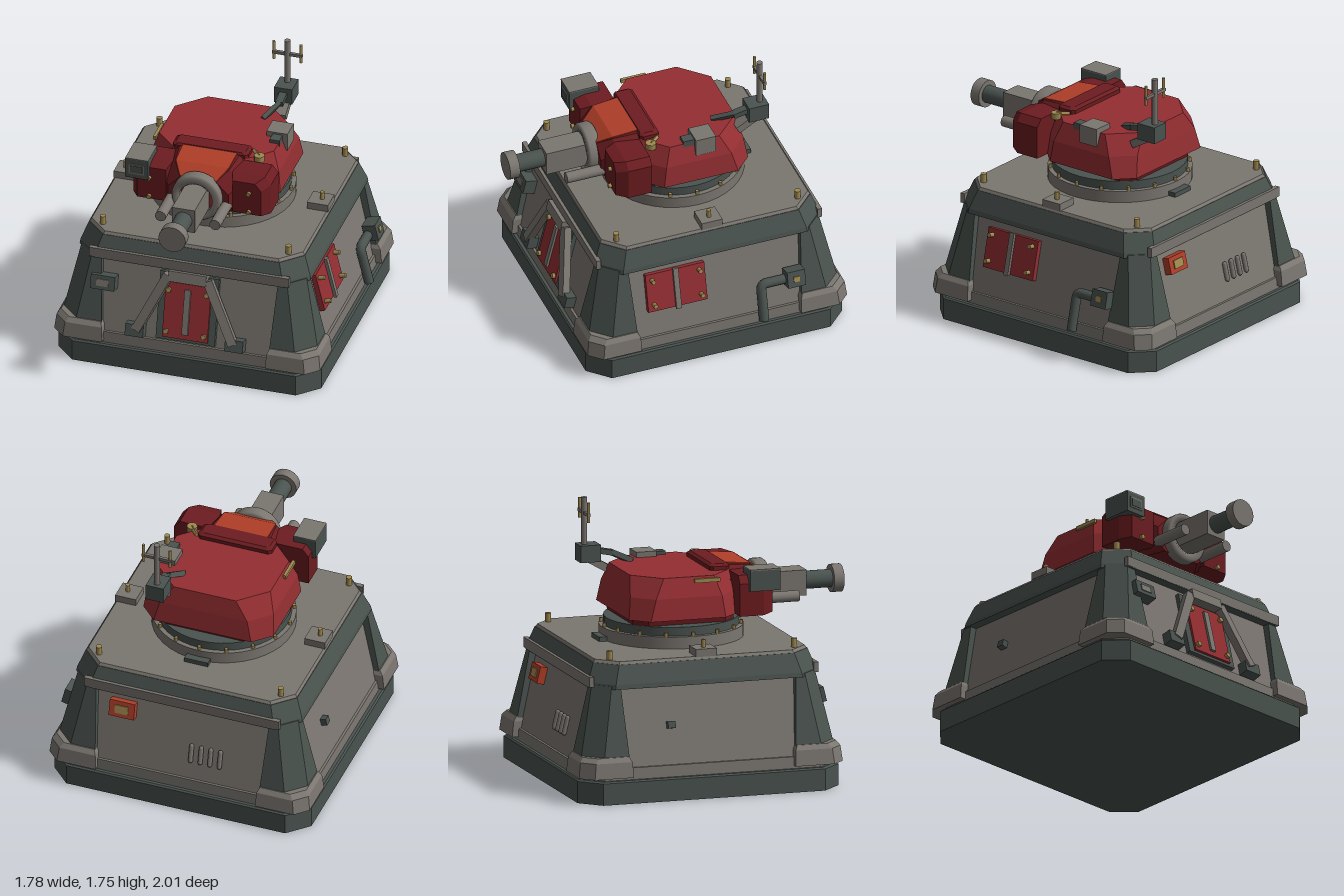
import * as THREE from 'three';
import { ConvexGeometry } from 'three/addons/geometries/ConvexGeometry.js';

const paint = (name, color) => Object.assign(new THREE.MeshStandardMaterial({ color }), { name });
const grey = paint('stone grey', 0x7b7670);
const dark = paint('dark green grey', 0x4a534f);
const red = paint('red', 0x942e32);
const deepRed = paint('deep red', 0x6c1c20);
const orange = paint('orange red', 0xb03e28);
const gold = paint('brass', 0xa08a50);
const CZ = -0.13; // centre of the bunker in z

function add(parent, name, geometry, material, x = 0, y = 0, z = 0) {
  const mesh = new THREE.Mesh(geometry, material);
  mesh.name = name;
  mesh.position.set(x, y, z);
  parent.add(mesh);
  return mesh;
}
const box = (p, name, m, w, h, d, x, y, z) => add(p, name, new THREE.BoxGeometry(w, h, d), m, x, y, z);
const rod = (p, name, m, r, h, x, y, z, sides = 16) =>
  add(p, name, new THREE.CylinderGeometry(r, r, h, sides), m, x, y, z);
const rodZ = (...args) => {
  const mesh = rod(...args);
  mesh.rotation.x = Math.PI / 2;
  return mesh;
};

// Square bar between two points
function beam(p, name, m, from, to, w, d) {
  const a = new THREE.Vector3(...from), b = new THREE.Vector3(...to);
  const dir = b.clone().sub(a);
  const mesh = box(p, name, m, w, dir.length(), d, 0, 0, 0);
  mesh.position.copy(a).add(b).multiplyScalar(0.5);
  mesh.quaternion.setFromUnitVectors(new THREE.Vector3(0, 1, 0), dir.normalize());
  return mesh;
}

const hull = (p, name, m, pts) =>
  add(p, name, new ConvexGeometry(pts.map((q) => new THREE.Vector3(...q))), m);

// Solid with chamfered corners; each level is [y, halfX, zBack, zFront, chamfer]
function block(p, name, m, levels) {
  const pts = [];
  for (const [y, hx, zb, zf, c] of levels)
    for (const s of [-1, 1])
      pts.push([s * (hx - c), y, zf], [s * hx, y, zf - c], [s * hx, y, zb + c], [s * (hx - c), y, zb]);
  return hull(p, name, m, pts);
}
const square = (y, h, c) => [y, h, CZ - h, CZ + h, c];

// Corner piece; each level is [y, inner, outer, chamfer]
function corner(p, name, m, sx, sz, levels) {
  const pts = [];
  for (const [y, i, o, c] of levels)
    for (const [x, z] of [[i, i], [o, i], [o, o - c], [o - c, o], [i, o]])
      pts.push([sx * x, y, CZ + sz * z]);
  hull(p, name, m, pts);
}

// Group lying on a sloped wall: x along the wall, y up the slope, z outwards
function wallFace(parent, name, turn) {
  const outer = new THREE.Group(), face = new THREE.Group();
  outer.name = name;
  outer.position.z = CZ;
  outer.rotation.y = turn;
  face.position.set(0, 0.23, 0.82);
  face.rotation.x = -0.24;
  outer.add(face);
  parent.add(outer);
  return face;
}
const up = (y) => (y - 0.23) * 1.03;

function buildBunker(g) {
  block(g, 'base', dark, [square(0, 0.87, 0.13), square(0.14, 0.87, 0.13), square(0.15, 0.86, 0.13)]);
  block(g, 'skirt', grey, [square(0.15, 0.84, 0.12), square(0.225, 0.835, 0.12)]);
  block(g, 'walls', grey, [square(0.2, 0.825, 0.12), square(0.73, 0.7, 0.12)]);
  block(g, 'roofRim', dark, [square(0.72, 0.765, 0.14), square(0.75, 0.76, 0.14), square(0.87, 0.715, 0.13)]);
  block(g, 'roofPlate', grey, [square(0.865, 0.715, 0.13), square(0.888, 0.7, 0.125)]);
  for (const sx of [-1, 1]) {
    for (const sz of [-1, 1]) {
      corner(g, 'cornerPost', dark, sx, sz, [[0.2, 0.55, 0.86, 0.12], [0.74, 0.585, 0.745, 0.1]]);
      corner(g, 'cornerShoe', grey, sx, sz,
        [[0.17, 0.54, 0.88, 0.08], [0.27, 0.545, 0.868, 0.08], [0.3, 0.56, 0.845, 0.08]]);
      rod(g, 'roofBolt', gold, 0.02, 0.06, sx * 0.615, 0.915, CZ + sz * 0.615, 8);
    }
    box(g, 'roofBlock', grey, 0.14, 0.05, 0.14, sx * 0.64, 0.91, CZ);
    rod(g, 'blockBolt', gold, 0.015, 0.06, sx * 0.65, 0.955, CZ, 8);
    box(g, 'trimBar', grey, 1.32, 0.065, 0.03, 0, 0.757, CZ + sx * 0.75);
  }
  box(g, 'rearRoofBlock', dark, 0.16, 0.035, 0.07, 0, 0.9, -0.6);
}

function buildWallDetails(g) {
  // Front door with braces
  const front = wallFace(g, 'frontWallDetails', 0);
  box(front, 'doorFrame', dark, 0.39, 0.45, 0.03, 0, up(0.46), 0.015);
  box(front, 'door', red, 0.3, 0.37, 0.03, 0, up(0.44), 0.03);
  box(front, 'doorStrip', grey, 0.04, 0.3, 0.02, 0, up(0.44), 0.05);
  box(front, 'doorHeader', grey, 0.25, 0.07, 0.09, 0, up(0.67), 0.045);
  for (const s of [-1, 1]) {
    beam(front, 'brace', grey, [s * 0.13, up(0.67), 0.06], [s * 0.32, up(0.28), 0.05], 0.06, 0.05);
    box(front, 'braceFoot', dark, 0.12, 0.08, 0.07, s * 0.33, up(0.275), 0.03);
    for (const y of [0.3, 0.57]) rodZ(front, 'doorBolt', gold, 0.017, 0.03, s * 0.125, up(y), 0.05, 8);
  }
  box(front, 'junctionBox', dark, 0.16, 0.095, 0.08, -0.555, up(0.555), 0.04);
  box(front, 'junctionCover', grey, 0.08, 0.045, 0.008, -0.555, up(0.555), 0.082);

  // Left side panel and pipe
  const left = wallFace(g, 'leftWallDetails', Math.PI / 2);
  box(left, 'sidePanel', red, 0.4, 0.26, 0.035, -0.27, up(0.525), 0.017);
  box(left, 'panelStrip', grey, 0.035, 0.28, 0.02, -0.27, up(0.525), 0.045);
  for (const dx of [-0.16, 0.16])
    for (const y of [0.445, 0.61]) rodZ(left, 'panelBolt', gold, 0.015, 0.06, -0.27 + dx, up(y), 0.045, 8);
  const path = new THREE.CurvePath();
  const knots = [[0.29, -0.06], [0.29, 0.15], [0.33, 0.19], [0.5, 0.19]].map(([x, y]) => new THREE.Vector3(x, y, 0.04));
  path.add(new THREE.LineCurve3(knots[0], knots[1]));
  path.add(new THREE.QuadraticBezierCurve3(knots[1], new THREE.Vector3(0.29, 0.19, 0.04), knots[2]));
  path.add(new THREE.LineCurve3(knots[2], knots[3]));
  add(left, 'pipe', new THREE.TubeGeometry(path, 32, 0.032, 10), dark);
  box(left, 'pipeBox', dark, 0.12, 0.11, 0.09, 0.51, up(0.425), 0.06);
  box(left, 'pipeBoxPlate', gold, 0.04, 0.035, 0.008, 0.51, up(0.425), 0.108);

  // Rear alarm box and vents
  const back = wallFace(g, 'rearWallDetails', Math.PI);
  box(back, 'alarmBox', orange, 0.17, 0.11, 0.05, -0.4, up(0.6), 0.025);
  box(back, 'alarmPlate', gold, 0.09, 0.055, 0.008, -0.4, up(0.6), 0.053);
  for (let i = 0; i < 4; i++)
    add(back, 'vent', new THREE.CapsuleGeometry(0.016, 0.1, 3, 8), grey, 0.075 + i * 0.065, up(0.4), 0.015);

  const right = wallFace(g, 'rightWallDetails', -Math.PI / 2);
  box(right, 'socket', dark, 0.05, 0.045, 0.04, -0.26, up(0.47), 0.02);
}

function buildTurret(g) {
  rod(g, 'ringBase', grey, 0.46, 0.08, 0, 0.925, CZ, 40);
  rod(g, 'ringTop', dark, 0.43, 0.06, 0, 0.992, CZ, 40);
  for (let i = 0; i < 16; i++) {
    const a = (i / 16) * Math.PI * 2;
    rod(g, 'ringBolt', gold, 0.012, 0.03, Math.sin(a) * 0.445, 0.975, CZ + Math.cos(a) * 0.445, 6);
  }
  block(g, 'turretNeck', deepRed, [[1.02, 0.34, -0.47, 0.2, 0.08], [1.075, 0.35, -0.48, 0.2, 0.08]]);
  block(g, 'turretBody', red,
    [[1.07, 0.44, -0.52, 0.2, 0.11], [1.21, 0.425, -0.5, 0.2, 0.13], [1.335, 0.38, -0.475, 0.2, 0.17]]);

  // Armoured cheeks either side of the gun
  for (const s of [-1, 1]) {
    const pts = [];
    for (const [z, i, o, lo, hi] of [[0.18, 0.2, 0.455, 1.07, 1.33], [0.34, 0.2, 0.455, 1.07, 1.33], [0.41, 0.22, 0.41, 1.08, 1.31]])
      pts.push([s * i, lo, z], [s * i, hi, z], [s * (o - 0.04), hi, z], [s * o, hi - 0.05, z], [s * o, lo, z]);
    hull(g, 'cheek', deepRed, pts);
    for (const y of [1.1, 1.235]) rodZ(g, 'cheekBolt', gold, 0.015, 0.03, s * 0.33, y, 0.415, 8);
    rodZ(g, 'recoilCylinder', grey, 0.036, 0.32, s * 0.18, 1.12, 0.5);
  }

  // Gun housing and hood
  const house = [];
  for (const [z, h, lo, hi] of [[0.16, 0.28, 1.04, 1.36], [0.34, 0.26, 1.04, 1.345], [0.43, 0.2, 1.06, 1.29]])
    for (const s of [-1, 1])
      house.push([s * (h - 0.08), hi, z], [s * h, hi - 0.08, z], [s * h, lo + 0.05, z], [s * (h - 0.06), lo, z]);
  hull(g, 'gunHousing', deepRed, house);
  block(g, 'hoodPlate', deepRed, [[1.32, 0.25, 0.05, 0.18, 0.02], [1.36, 0.25, 0.05, 0.18, 0.02], [1.374, 0.23, 0.07, 0.17, 0.02]]);
  const topPts = [], nosePts = [];
  for (const s of [-1, 1])
    for (const dy of [0, 0.008]) {
      topPts.push([s * 0.18, 1.362 + dy, 0.17], [s * 0.175, 1.347 + dy, 0.34]);
      nosePts.push([s * 0.175, 1.347 + dy, 0.34], [s * 0.12, 1.291 + dy, 0.43]);
    }
  hull(g, 'hoodTop', orange, topPts);
  hull(g, 'hoodNose', orange, nosePts);

  // Gun
  const profile = [[0.11, 0], [0.15, 0], [0.162, 0.015], [0.162, 0.075], [0.15, 0.09], [0.11, 0.09], [0.11, 0]];
  const collar = add(g, 'gunCollar',
    new THREE.LatheGeometry(profile.map(([r, y]) => new THREE.Vector2(r, y)), 32), grey, 0, 1.18, 0.4);
  collar.rotation.x = Math.PI / 2;
  rodZ(g, 'collarDisc', red, 0.115, 0.03, 0, 1.18, 0.43, 32);
  box(g, 'gunSleeve', grey, 0.15, 0.165, 0.33, 0, 1.178, 0.585);
  rodZ(g, 'barrel', dark, 0.058, 0.2, 0, 1.18, 0.84, 20);
  rodZ(g, 'muzzle', grey, 0.09, 0.067, 0, 1.18, 0.9665, 20);

  // Sights and fittings
  box(g, 'sightBox', dark, 0.15, 0.135, 0.2, -0.405, 1.3, 0.34);
  box(g, 'sightLid', grey, 0.152, 0.008, 0.2, -0.405, 1.369, 0.34);
  box(g, 'sightFrame', grey, 0.1, 0.07, 0.008, -0.405, 1.3, 0.442);
  box(g, 'sightLens', dark, 0.08, 0.05, 0.008, -0.405, 1.3, 0.446);
  box(g, 'periscope', grey, 0.14, 0.12, 0.135, 0.35, 1.31, -0.2);
  box(g, 'periscopeNose', dark, 0.065, 0.065, 0.08, 0.355, 1.325, -0.1);
  box(g, 'handRail', gold, 0.02, 0.025, 0.17, -0.4, 1.31, -0.02);
  rod(g, 'leverHub', gold, 0.035, 0.04, 0.315, 1.335, 0.135, 8);
  beam(g, 'lever', gold, [0.315, 1.345, 0.135], [0.26, 1.345, 0.07], 0.02, 0.02);
}

function buildAntenna(g) {
  beam(g, 'antennaArm', dark, [0.2, 1.335, -0.32], [0.27, 1.39, -0.45], 0.03, 0.035);
  beam(g, 'antennaArm', dark, [0.27, 1.385, -0.44], [0.27, 1.41, -0.56], 0.05, 0.035);
  beam(g, 'antennaBrace', grey, [0.27, 1.28, -0.46], [0.27, 1.36, -0.6], 0.08, 0.05);
  box(g, 'antennaBase', dark, 0.12, 0.11, 0.135, 0.27, 1.395, -0.595);
  rod(g, 'antennaMast', grey, 0.02, 0.31, 0.27, 1.6, -0.62, 12);
  box(g, 'antennaCrossbar', grey, 0.2, 0.02, 0.02, 0.27, 1.655, -0.62);
  for (const s of [-1, 1]) rod(g, 'antennaTip', gold, 0.01, 0.13, 0.27 + s * 0.09, 1.67, -0.62, 8);
}

export function createModel() {
  const model = new THREE.Group();
  model.name = 'turretBunker';
  for (const [name, build] of [['bunker', buildBunker], ['wallDetails', buildWallDetails],
    ['turret', buildTurret], ['antenna', buildAntenna]]) {
    const part = new THREE.Group();
    part.name = name;
    build(part);
    model.add(part);
  }
  return model;
}
